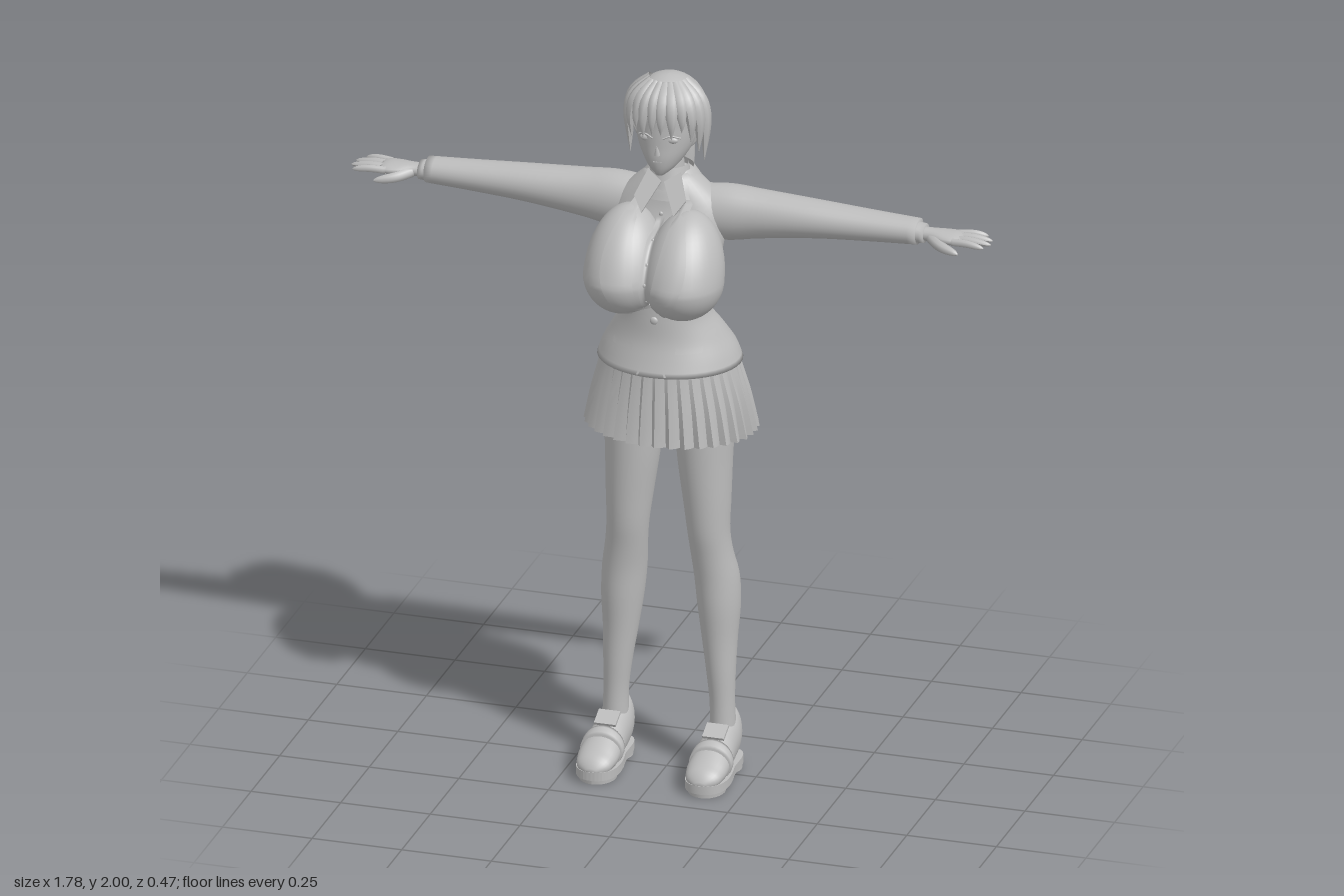
import * as THREE from 'three';
import { toCreasedNormals } from 'three/addons/utils/BufferGeometryUtils.js';

const grey = new THREE.MeshStandardMaterial({ color: 0xbcbcbc, side: THREE.DoubleSide });
grey.name = 'plain grey';
const V = (x, y, z) => new THREE.Vector3(x, y, z);

// Smooth interpolation through rows of [t, a, b, ra, rb]
function smoothRows(rows) {
  const f = new THREE.CubicInterpolant(rows.map(r => r[0]), rows.flatMap(r => r.slice(1)), 4);
  return t => Array.from(f.evaluate(t));
}

// Elliptical loft. y axis: a=x b=z; x axis: a=z b=y; z axis: a=y b=x
function loft(axis, rows, { steps = 28, sides = 28, caps = true, mod = () => 1 } = {}) {
  const at = smoothRows(rows), pos = [], idx = [];
  const t0 = rows[0][0], t1 = rows[rows.length - 1][0];
  const put = (t, a, b) => pos.push(...(axis === 'y' ? [a, t, b] : axis === 'x' ? [t, b, a] : [b, a, t]));
  for (let i = 0; i <= steps; i++) {
    const t = t0 + (t1 - t0) * i / steps, [a, b, ra, rb] = at(t);
    for (let j = 0; j < sides; j++) {
      const q = j / sides * Math.PI * 2, m = mod(j, i / steps);
      put(t, a + ra * m * Math.cos(q), b + rb * m * Math.sin(q));
    }
  }
  for (let i = 0; i < steps; i++) for (let j = 0; j < sides; j++) {
    const p = i * sides + j, q = i * sides + (j + 1) % sides;
    idx.push(p, p + sides, q, q, p + sides, q + sides);
  }
  if (caps) {
    const c = pos.length / 3, top = steps * sides;
    for (const r of [rows[0], rows[rows.length - 1]]) put(r[0], r[1], r[2]);
    for (let j = 0; j < sides; j++) {
      const k = (j + 1) % sides;
      idx.push(c, j, k, c + 1, top + k, top + j);
    }
  }
  return finish(pos, idx);
}

function finish(pos, idx) {
  const g = new THREE.BufferGeometry();
  g.setAttribute('position', new THREE.Float32BufferAttribute(pos, 3));
  g.setIndex(idx);
  g.computeVertexNormals();
  return g;
}

// Tube whose radius follows a rule along its length
function taperTube(points, rule, seg = 14, sides = 8) {
  const path = new THREE.CatmullRomCurve3(points);
  const g = new THREE.TubeGeometry(path, seg, 1, sides), p = g.attributes.position, v = V();
  for (let i = 0; i < p.count; i++) {
    const u = Math.floor(i / (sides + 1)) / seg, c = path.getPointAt(u);
    v.fromBufferAttribute(p, i).sub(c).multiplyScalar(rule(u)).add(c);
    p.setXYZ(i, v.x, v.y, v.z);
  }
  g.computeVertexNormals();
  return g;
}

function ball(x, y, z, rx, ry, rz) {
  return new THREE.SphereGeometry(1, 28, 20).scale(rx, ry, rz).translate(x, y, z);
}

function mirrored(geo) {
  const g = geo.clone().scale(-1, 1, 1);
  if (!g.index) g.setIndex([...Array(g.attributes.position.count).keys()]);
  const a = g.index.array;
  for (let i = 0; i < a.length; i += 3) [a[i], a[i + 1]] = [a[i + 1], a[i]];
  g.computeVertexNormals();
  return g;
}

const torsoRows = [[1.18, 0, -.032, .197, .17], [1.22, 0, -.03, .183, .155], [1.27, 0, -.02, .155, .132],
  [1.34, 0, .003, .118, .105], [1.4, 0, 0, .128, .105], [1.48, 0, -.01, .145, .1], [1.56, 0, -.025, .155, .09],
  [1.63, 0, -.04, .15, .08], [1.68, 0, -.04, .105, .07], [1.72, 0, -.035, .06, .052]];
const torsoAt = smoothRows(torsoRows);
const bust = { x: .083, y: 1.465, z: .112, rx: .108, ry: .108, rz: .122, stretch: 1.65, lean: .05 };

// Front surface height of the jacket at (x, y)
function frontZ(x, y) {
  const [, cz, rx, rz] = torsoAt(y), b = bust;
  let z = cz + rz * Math.sqrt(Math.max(0, 1 - (x / rx) ** 2));
  const yn = (y - b.y) / (b.ry * (y > b.y ? b.stretch : 1)), xn = (Math.abs(x) - b.x) / b.rx;
  const d = 1 - xn * xn - yn * yn;
  if (d > 0) z = Math.max(z, b.z + b.rz * Math.sqrt(d) - b.lean * Math.max(0, yn));
  return z;
}

// Cloth strip lying on the jacket front between two edges
function strip(y0, y1, inner, outer, lift) {
  const pos = [], idx = [], n = 24, m = 5;
  for (let i = 0; i <= n; i++) for (let j = 0; j <= m; j++) {
    const u = i / n, y = y0 + (y1 - y0) * u, x = inner(u) + (outer(u) - inner(u)) * j / m;
    pos.push(x, y, frontZ(x, y) + lift);
  }
  for (let i = 0; i < n; i++) for (let j = 0; j < m; j++) {
    const p = i * (m + 1) + j, q = p + m + 1;
    idx.push(p, q, p + 1, p + 1, q, q + 1);
  }
  return finish(pos, idx);
}

export function createModel() {
  const root = new THREE.Group();
  root.name = 'uniformedFigure';
  const add = (name, geo) => {
    const m = new THREE.Mesh(geo, grey);
    m.name = name;
    root.add(m);
  };
  const pair = (name, geo) => { add(name + 'Left', geo); add(name + 'Right', mirrored(geo)); };

  // Jacket
  add('jacketBody', loft('y', torsoRows, { steps: 40, sides: 40 }));
  const chest = new THREE.SphereGeometry(1, 36, 28), cp = chest.attributes.position, b = bust;
  for (let i = 0; i < cp.count; i++) {
    const up = Math.max(0, cp.getY(i));
    cp.setXYZ(i, b.x + cp.getX(i) * b.rx, b.y + cp.getY(i) * b.ry * (up ? b.stretch : 1),
      b.z + cp.getZ(i) * b.rz - b.lean * up);
  }
  chest.computeVertexNormals();
  pair('jacketChest', chest);
  pair('lapel', strip(1.66, 1.37, u => .055 - .045 * u, u => .075 + .06 * Math.sin(u * 2.6) - .06 * u * u, .006));
  add('shirtPlacket', strip(1.66, 1.37, () => -.012, () => .012, .005));
  for (let i = 0; i < 5; i++) {
    const y = 1.62 - i * .05;
    add('shirtButton', ball(0, y, frontZ(0, y) + .006, .006, .006, .004));
  }
  add('jacketButton', ball(0, 1.335, frontZ(0, 1.335) + .003, .011, .011, .006));
  pair('pocketFlap', strip(1.262, 1.245, () => .06, () => .125, .006));
  pair('frontEdge', strip(1.33, 1.185, u => .006 + .03 * u * u, u => .012 + .03 * u * u, .005));

  // Collars
  add('jacketCollar', loft('y', [[1.655, 0, -.035, .105, .08], [1.69, 0, -.04, .088, .073], [1.725, 0, -.045, .06, .058]],
    { steps: 8, caps: false }));
  add('shirtCollar', loft('y', [[1.68, 0, -.025, .062, .062], [1.71, 0, -.028, .056, .056], [1.74, 0, -.03, .05, .05]],
    { steps: 6, caps: false }));
  const flap = new THREE.Shape([[.004, 1.705], [.045, 1.735], [.072, 1.66], [.045, 1.615]].map(p => new THREE.Vector2(...p)));
  const flapGeo = new THREE.ExtrudeGeometry(flap, { depth: .006, bevelEnabled: false });
  flapGeo.translate(0, -1.7, 0).rotateX(-.55).translate(0, 1.7, .033);
  pair('collarFlap', flapGeo);

  // Sleeves, cuffs and hands
  pair('sleeve', loft('x', [[.08, -.055, 1.6, .062, .075], [.16, -.06, 1.602, .066, .078], [.24, -.062, 1.606, .062, .068],
    [.4, -.062, 1.612, .056, .052], [.55, -.062, 1.613, .048, .042], [.685, -.06, 1.614, .041, .035]]));
  pair('shirtCuff', loft('x', [[.67, -.058, 1.613, .033, .029], [.705, -.057, 1.612, .031, .026]], { steps: 3 }));
  pair('hand', loft('x', [[.69, -.056, 1.612, .021, .019], [.72, -.055, 1.612, .024, .018], [.76, -.054, 1.612, .037, .017],
    [.795, -.054, 1.612, .04, .014], [.81, -.054, 1.612, .036, .009]], { steps: 16, sides: 18 }));
  [.868, .888, .892, .88].forEach((tip, i) => {
    const z = -.086 + i * .0215, spread = (i - 1.5) * .007;
    pair('finger', taperTube([V(.79, 1.612, z), V(.835, 1.614, z + spread * .5), V(tip, 1.609, z + spread)],
      u => .0105 * Math.sqrt(1.02 - u ** 4)));
  });
  pair('thumb', taperTube([V(.725, 1.608, -.042), V(.76, 1.6, -.012), V(.815, 1.592, .01)],
    u => .015 * Math.sqrt(1.02 - u ** 3)));

  // Pleated skirt: each pleat is four points across with one sharp step
  const pleat = [-.025, .005, .025, .04];
  add('pleatedSkirt', toCreasedNormals(loft('y', [[.98, 0, -.045, .228, .18], [1.08, 0, -.04, .21, .17],
    [1.16, 0, -.034, .19, .158], [1.23, 0, -.03, .175, .148]],
  { steps: 10, sides: 144, caps: false, mod: (j, u) => 1 + pleat[j % 4] * (1.15 - u) }), .5));
  add('hips', ball(0, 1.15, -.035, .165, .12, .13));

  // Legs
  pair('leg', loft('y', [[.1, .15, -.025, .036, .04], [.2, .148, -.024, .034, .037], [.28, .144, -.026, .039, .042],
    [.38, .138, -.034, .048, .053], [.48, .134, -.04, .058, .066], [.56, .128, -.038, .06, .067],
    [.63, .119, -.024, .057, .06], [.69, .113, -.016, .057, .061], [.78, .108, -.018, .064, .07],
    [.9, .101, -.022, .074, .08], [1, .098, -.026, .08, .087], [1.15, .09, -.03, .08, .09]], { steps: 48 }));

  // Loafers
  pair('shoeUpper', loft('z', [[-.083, .085, .15, .05, .02], [-.07, .1, .15, .075, .037], [-.045, .097, .15, .078, .045],
    [-.01, .084, .15, .068, .047], [.04, .074, .151, .058, .051], [.09, .064, .152, .046, .055],
    [.14, .053, .152, .033, .053], [.175, .044, .152, .022, .038], [.188, .04, .152, .008, .016]], { steps: 36 }));
  const outline = new THREE.Shape();
  outline.moveTo(0, .086);
  outline.bezierCurveTo(.065, .086, .045, .01, .05, -.04);
  outline.bezierCurveTo(.07, -.13, .055, -.19, 0, -.19);
  outline.bezierCurveTo(-.055, -.19, -.07, -.13, -.05, -.04);
  outline.bezierCurveTo(-.045, .01, -.065, .086, 0, .086);
  const sole = new THREE.ExtrudeGeometry(outline, { depth: .024, bevelEnabled: false, curveSegments: 14 });
  sole.rotateX(-Math.PI / 2).translate(.152, .014, 0);
  pair('shoeSole', toCreasedNormals(sole, .6));
  pair('shoeHeel', new THREE.CylinderGeometry(.045, .045, .022, 24).scale(1, 1, 1.02).translate(.152, .011, -.038));
  pair('shoeFrontTread', new THREE.CylinderGeometry(.052, .05, .022, 24).scale(1, 1, 1.18).translate(.152, .011, .122));
  pair('shoeStrap', loft('z', [[.068, .069, .152, .056, .057], [.08, .067, .152, .055, .059], [.1, .063, .152, .048, .058]],
    { steps: 4 }));
  pair('shoeTongue', new THREE.BoxGeometry(.06, .008, .05).rotateX(.45).translate(.151, .137, .045));

  // Neck, face and ears
  add('neck', new THREE.CylinderGeometry(.036, .045, .13, 24).translate(0, 1.735, -.025));
  add('face', loft('y', [[1.738, 0, .052, .012, .016], [1.755, 0, .034, .034, .042], [1.785, 0, .012, .058, .07],
    [1.82, 0, -.004, .076, .086], [1.87, 0, -.012, .086, .094], [1.92, 0, -.015, .087, .094], [1.965, 0, -.015, .06, .07]]));
  add('nose', new THREE.ConeGeometry(.009, .03, 8).rotateX(.25).translate(0, 1.818, .083));
  add('mouth', new THREE.BoxGeometry(.024, .003, .006).translate(0, 1.782, .079));
  pair('ear', ball(.086, 1.835, -.03, .012, .028, .018));
  pair('eye', ball(.035, 1.845, .067, .018, .01, .009));
  pair('eyelash', taperTube([V(.014, 1.85, .08), V(.034, 1.858, .075), V(.058, 1.85, .06)], () => .0025, 8, 6));

  // Hair: cap cut away in front of the face, fringe locks, ponytail
  const cap = new THREE.SphereGeometry(1, 36, 28).scale(.106, .113, .113).translate(0, 1.887, -.018);
  const hp = cap.attributes.position;
  for (let i = 0; i < hp.count; i++) if (hp.getY(i) < 1.91) hp.setZ(i, Math.min(hp.getZ(i), -.005));
  cap.computeVertexNormals();
  add('hairCap', cap);
  const tips = [1.862, 1.85, 1.868, 1.835, 1.8, 1.765];
  tips.forEach((tip, i) => {
    const q = .12 + i * .27, s = Math.sin(q), c = Math.cos(q), at = (r, y) => V(r * s, y, -.018 + r * c * 1.04);
    pair('fringeLock', taperTube([at(.045, 1.988), at(.09, 1.945), at(.105, 1.9), at(.104, tip)],
      u => .0005 + .018 * Math.sin(Math.PI * (.25 + .75 * u)), 16, 7));
  });
  add('hairTie', new THREE.TorusGeometry(.018, .008, 10, 20).rotateY(.2).translate(0, 1.825, -.118));
  add('ponytail', taperTube([V(0, 1.83, -.1), V(0, 1.815, -.132), V(0, 1.74, -.143), V(0, 1.64, -.143), V(0, 1.555, -.135)],
    u => .002 + .03 * Math.sin(Math.PI * (.15 + .85 * u)) ** .8, 24, 14));
  return root;
}
